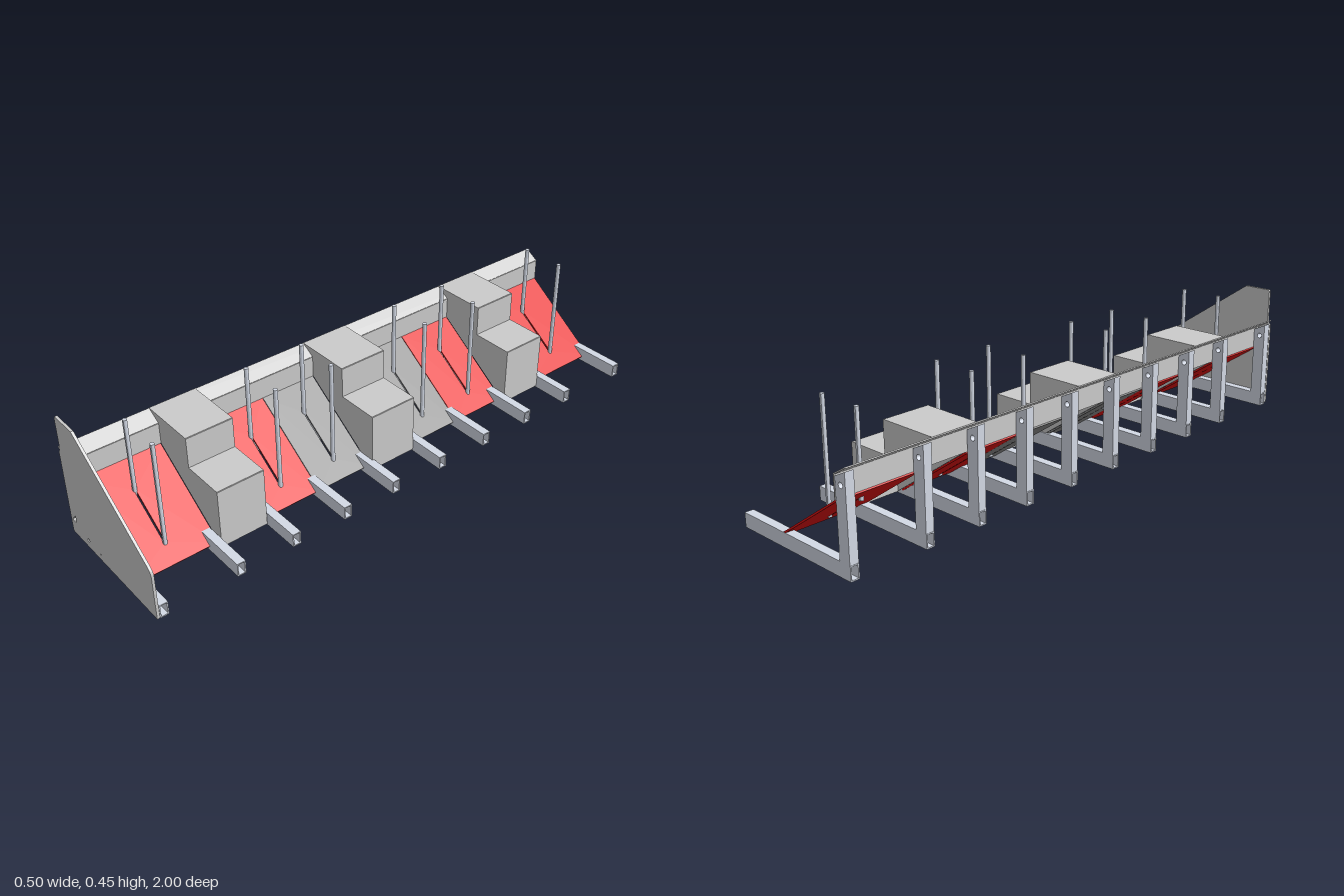
import * as THREE from 'three';

const mat = (color) => new THREE.MeshStandardMaterial({ color, flatShading: true, side: THREE.DoubleSide });

export function createModel() {
  const root = new THREE.Group();
  const grey = mat(0xcccccc), steel = mat(0xd4dae6), dark = mat(0x8c8c8c), red = mat(0xe01010);

  const add = (name, geo, material, parent = root) => {
    const mesh = new THREE.Mesh(geo, material);
    mesh.name = name;
    parent.add(mesh);
    return mesh;
  };
  const shapeOf = (pts) => new THREE.Shape(pts.map(([x, y]) => new THREE.Vector2(x, y)));
  const circle = (x, y, r) => new THREE.Path().absarc(x, y, r, 0, Math.PI * 2, true);
  // Extrudes an x-y outline from z0 to z1
  const plate = (shape, z0, z1) =>
    new THREE.ExtrudeGeometry(shape, { depth: z1 - z0, bevelEnabled: false, curveSegments: 12 }).translate(0, 0, z0);
  // Folded sheet: one thin box per segment of an x-y polyline
  const foldedSheet = (name, pts, z0, z1, material, parent, t = 0.004) => {
    for (let i = 0; i < pts.length - 1; i++) {
      const [ax, ay] = pts[i], [bx, by] = pts[i + 1];
      const geo = new THREE.BoxGeometry(Math.hypot(bx - ax, by - ay), t, z1 - z0);
      geo.rotateZ(Math.atan2(by - ay, bx - ax));
      geo.translate((ax + bx) / 2, (ay + by) / 2, (z0 + z1) / 2);
      add(name, geo, material, parent);
    }
  };

  // L-shaped support legs: hollow floor beam and upright with a bolt hole
  const tubeShape = shapeOf([[-0.015, 0], [0.015, 0], [0.015, 0.048], [-0.015, 0.048]]);
  tubeShape.holes.push(shapeOf([[-0.011, 0.004], [-0.011, 0.044], [0.011, 0.044], [0.011, 0.004]]));
  const postShape = shapeOf([[-0.249, 0.048], [-0.205, 0.048], [-0.205, 0.296], [-0.249, 0.318]]);
  postShape.holes.push(circle(-0.228, 0.275, 0.009));
  for (const z of [-0.985, -0.717, -0.512, -0.31, -0.106, 0.098, 0.3, 0.502, 0.707, 0.975]) {
    const leg = new THREE.Group();
    leg.name = 'supportLeg';
    leg.position.z = z;
    add('floorBeam', plate(tubeShape, -0.25, 0.25).rotateY(Math.PI / 2), steel, leg);
    add('upright', plate(postShape, -0.015, 0.015), steel, leg);
    root.add(leg);
  }

  // Back rail with its sloping top lip
  foldedSheet('backRail', [[-0.25, 0.33], [-0.2, 0.3], [-0.2, 0.225]], -1, 1, grey, root);

  // Sloping slotted panels, each with two upright rods
  const top = [-0.2, 0.225], foot = [0.1, 0.018];
  const dir = new THREE.Vector3(foot[0] - top[0], foot[1] - top[1], 0);
  const length = dir.length();
  dir.normalize();
  const normal = new THREE.Vector3(-dir.y, dir.x, 0);
  const panels = [
    [-1, -0.7, red], [-0.53, -0.31, red], [-0.31, -0.09, dark],
    [0.09, 0.3, dark], [0.3, 0.52, red], [0.69, 0.99, red],
  ];
  for (const [z0, z1, material] of panels) {
    const mid = (z0 + z1) / 2, h = (z1 - z0) / 2 - 0.001;
    const s = shapeOf([[0, -h], [length, -h], [length, h], [0, h]]);
    const a = 0.085 / dir.x, b = 0.24 / dir.x, w = 0.003;
    s.holes.push(shapeOf([[a, -w], [a, w], [b, w], [b, -w]]));
    const geo = plate(s, -0.006, 0);
    geo.applyMatrix4(new THREE.Matrix4().makeBasis(dir, new THREE.Vector3(0, 0, -1), normal));
    geo.translate(top[0], top[1], mid);
    add('slopingPanel', geo, material);
    for (const [x, y] of [[-0.115, 0.15], [0.04, 0.05]]) {
      add('rod', new THREE.CylinderGeometry(0.0075, 0.0075, 0.43 - y, 12).translate(x, (0.43 + y) / 2, mid), steel);
    }
  }

  // Two-step boxes: folded cover with side walls that follow the slope
  const cover = [[-0.25, 0.33], [-0.04, 0.33], [-0.04, 0.22], [0.115, 0.22], [0.115, 0.008]];
  const wall = shapeOf([...cover, [-0.2, 0.225], [-0.2, 0.3]]);
  for (const [z0, z1] of [[-0.7, -0.53], [-0.09, 0.09], [0.52, 0.69]]) {
    const box = new THREE.Group();
    box.name = 'stepBox';
    foldedSheet('stepCover', cover, z0, z1, grey, box);
    add('stepSideWall', plate(wall, z0, z0 + 0.004), grey, box);
    add('stepSideWall', plate(wall, z1 - 0.004, z1), grey, box);
    root.add(box);
  }

  // Tall end panel with rounded corners and cut-outs
  const end = new THREE.Shape();
  end.moveTo(-0.242, 0.002);
  end.lineTo(0.25, 0.002);
  end.lineTo(0.25, 0.16);
  end.quadraticCurveTo(0.25, 0.178, 0.234, 0.19);
  end.lineTo(-0.137, 0.447);
  end.lineTo(-0.232, 0.447);
  end.quadraticCurveTo(-0.24, 0.447, -0.24, 0.439);
  end.lineTo(-0.24, 0.324);
  end.lineTo(-0.25, 0.312);
  end.lineTo(-0.25, 0.01);
  end.quadraticCurveTo(-0.25, 0.002, -0.242, 0.002);
  end.holes.push(shapeOf([[-0.241, 0.056], [-0.216, 0.083], [-0.216, 0.056]]));
  end.holes.push(circle(-0.145, 0.033, 0.006), circle(-0.07, 0.025, 0.003));
  add('endPanel', plate(end, 0.991, 1), grey);

  return root;
}
